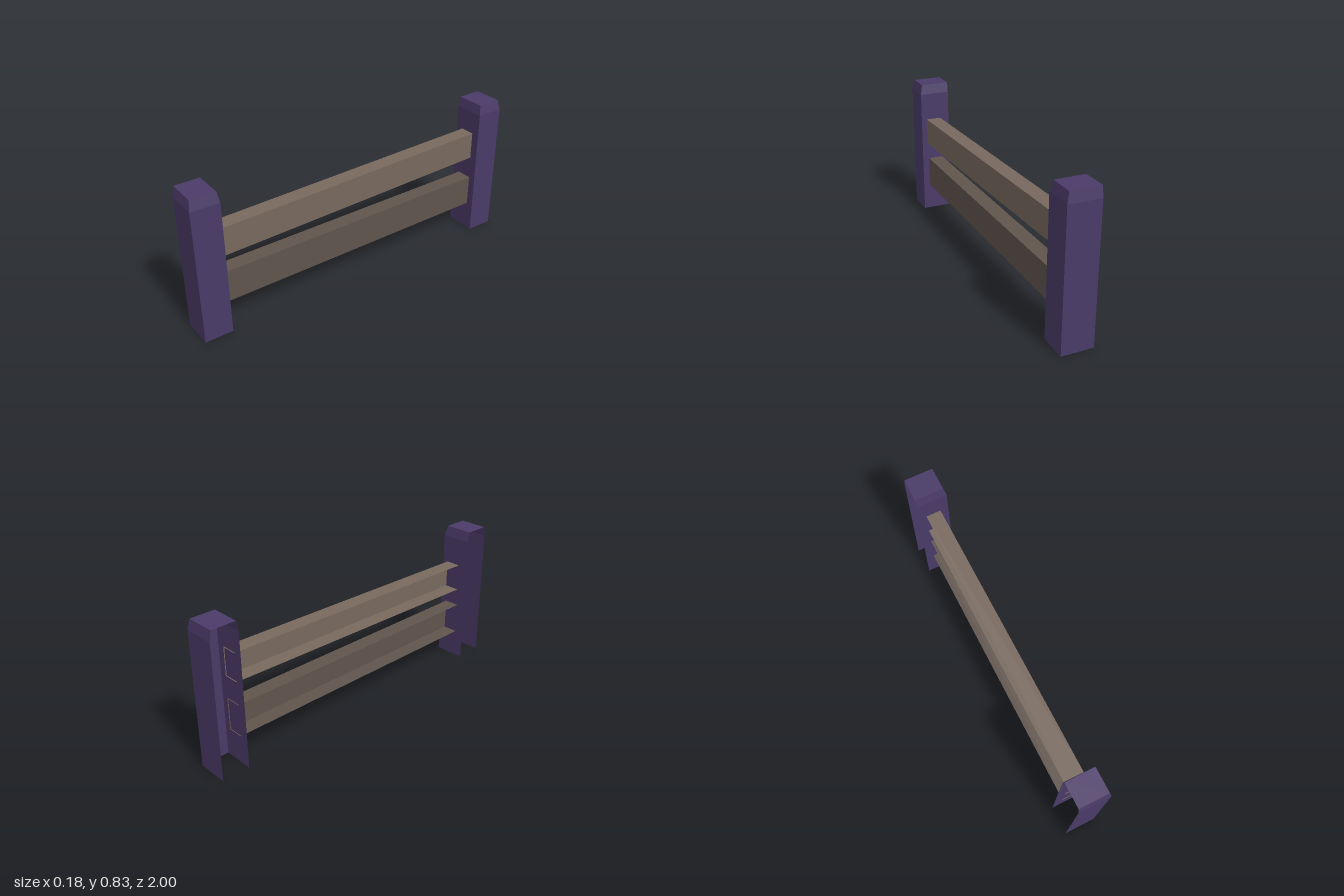
import * as THREE from 'three';

// Skin open cross-sections (lists of [x, y, z]) with flat quads; optionally cap the last one.
function loft(sections, capLast = false) {
  const positions = [];
  const quad = (a, b, c, d) => positions.push(...a, ...b, ...c, ...a, ...c, ...d);
  for (let s = 0; s < sections.length - 1; s++) {
    const p = sections[s], q = sections[s + 1];
    for (let i = 0; i < p.length - 1; i++) quad(p[i], q[i], q[i + 1], p[i + 1]);
  }
  if (capLast) {
    const [a, b, c, d] = sections[sections.length - 1];
    quad(a, d, c, b);
  }
  const geometry = new THREE.BufferGeometry();
  geometry.setAttribute('position', new THREE.Float32BufferAttribute(positions, 3));
  geometry.computeVertexNormals();
  return geometry;
}

function makeMesh(name, geometry, color) {
  const material = new THREE.MeshStandardMaterial({ color, flatShading: true, side: THREE.DoubleSide });
  const mesh = new THREE.Mesh(geometry, material);
  mesh.name = name;
  return mesh;
}

// Post section: three walls, open towards -x
const postSection = (y, front, halfZ) => [
  [-0.09, y, -halfZ], [front, y, -halfZ], [front, y, halfZ], [-0.09, y, halfZ],
];

// Rail section: top, face and underside, open towards -x
const railSection = (z, back, front, bottom, top) => [
  [back, top, z], [front, top, z], [front, bottom, z], [back, bottom, z],
];

export function createModel() {
  const group = new THREE.Group();
  group.name = 'fence';

  // Two posts with chamfered tops, open underneath
  const postGeometry = loft([
    postSection(0, 0.09, 0.08),
    postSection(0.775, 0.09, 0.08),
    postSection(0.833, 0.077, 0.07),
  ], true);
  for (const [name, z] of [['frontPost', 0.92], ['backPost', -0.92]]) {
    const post = makeMesh(name, postGeometry, 0x4a3b68);
    post.position.z = z;
    group.add(post);
  }

  // Slightly crooked rails, ends just inside the posts
  group.add(makeMesh('upperRail', loft([
    railSection(-0.845, -0.045, 0.042, 0.485, 0.645),
    railSection(0.845, -0.033, 0.057, 0.45, 0.61),
  ]), 0x78695e));
  group.add(makeMesh('lowerRail', loft([
    railSection(-0.845, -0.043, 0.046, 0.171, 0.353),
    railSection(0.845, -0.04, 0.05, 0.164, 0.347),
  ]), 0x60554d));

  return group;
}
